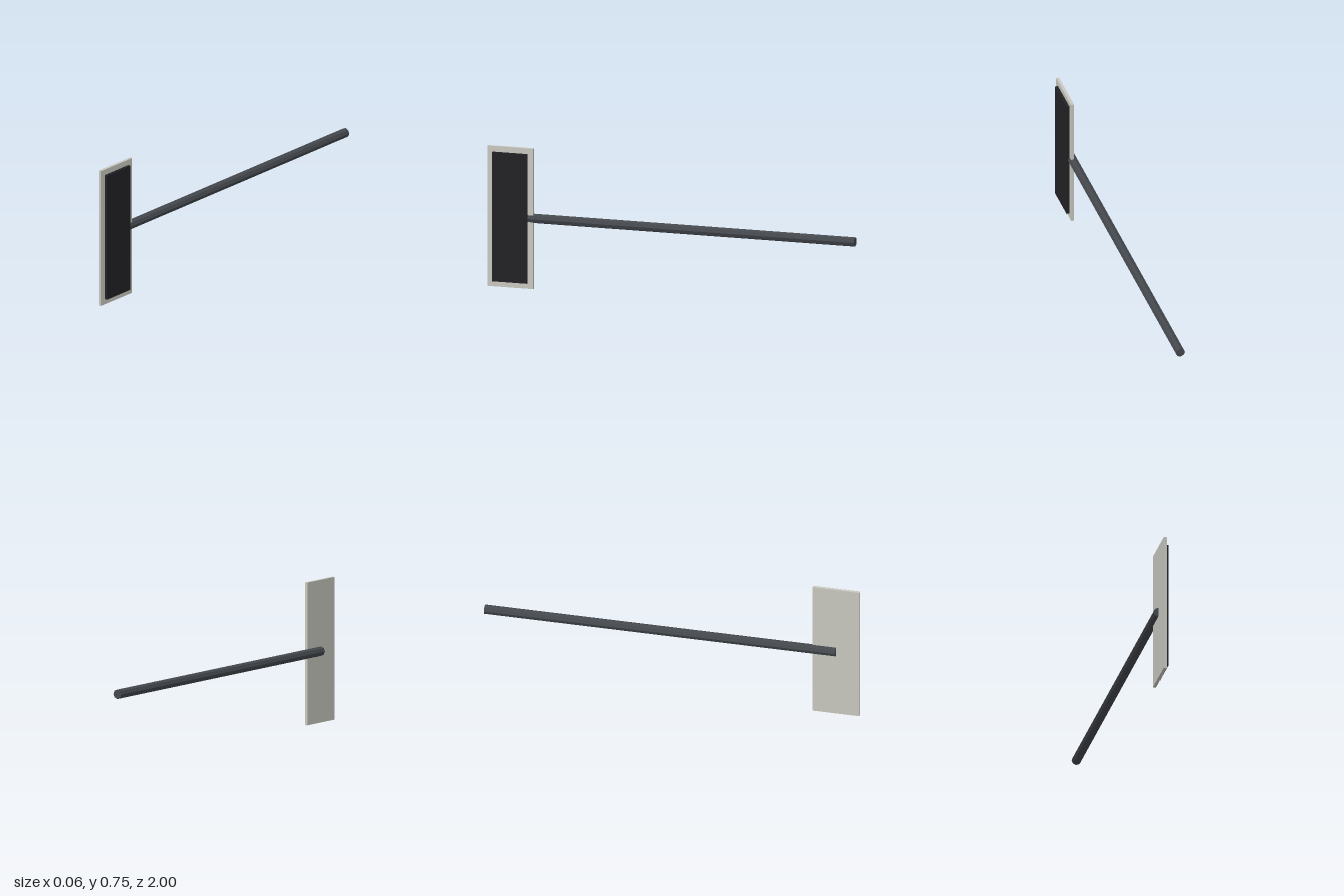
import * as THREE from 'three';

const material = (color) => new THREE.MeshStandardMaterial({ color, flatShading: true });

export function createModel() {
  const model = new THREE.Group();

  const add = (name, geometry, color, x, y, z) => {
    const mesh = new THREE.Mesh(geometry, material(color));
    mesh.name = name;
    mesh.position.set(x, y, z);
    model.add(mesh);
  };

  const midY = 0.375;

  // Thin upright backing plate at the front end
  add('plate', new THREE.BoxGeometry(0.016, 0.75, 0.25), 0xc8c8c0, 0.004, midY, 0.875);

  // Dark pad on the plate's left face, leaving an even border
  add('pad', new THREE.BoxGeometry(0.016, 0.69, 0.19), 0x222226, 0.02, midY, 0.875);

  // Eight-sided handle, sunk through the plate and ending at its middle
  const rod = new THREE.CylinderGeometry(0.025, 0.025, 1.875, 8).rotateX(Math.PI / 2);
  add('handle', rod, 0x44484d, -0.004, midY, -0.0625);

  return model;
}
